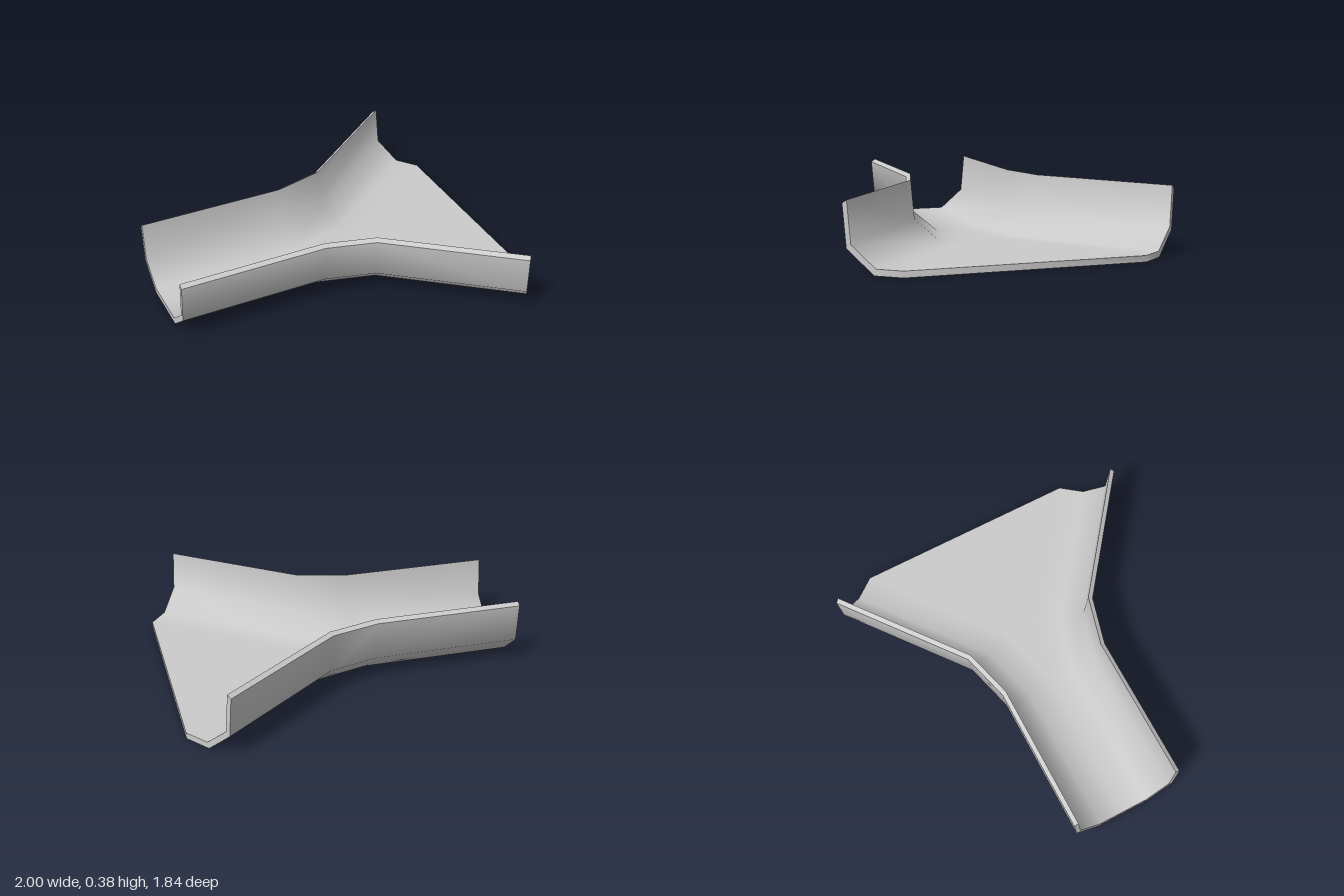
import * as THREE from 'three';
import { toCreasedNormals } from 'three/addons/utils/BufferGeometryUtils.js';

// Plan of the outer rim (x, z) on the +z side
const rim = [[-1, 0.33], [-0.15, 0.33], [0.13, 0.405], [0.8, 0.922]]
  .map(([x, z]) => new THREE.Vector2(x, z));

// Half cross-section: inset from the rim, height; inner skin first, then outer
const profile = [
  [0.33, 0.035], [0.18, 0.035], [0.045, 0.15], [0.025, 0.375],
  [0, 0.358], [0.02, 0.13], [0.17, 0], [0.33, 0],
];

// Inward normal of a rim segment
function inward(i) {
  const d = rim[i + 1].clone().sub(rim[i]).normalize();
  return new THREE.Vector2(d.y, -d.x);
}

// Mitred inward direction at a rim point
function mitre(i) {
  const a = inward(Math.max(i - 1, 0));
  const b = inward(Math.min(i, rim.length - 2));
  return a.clone().add(b).divideScalar(1 + a.dot(b));
}

// Section loop at a rim point, extended across the floor to the middle line
function section(i) {
  const m = mitre(i);
  const pts = profile.map(([d, y]) =>
    new THREE.Vector3(rim[i].x + m.x * d, y, Math.max(rim[i].y + m.y * d, 0)));
  const onAxis = (p) => new THREE.Vector3(p.x, p.y, 0);
  return [onAxis(pts[0]), ...pts, onAxis(pts[pts.length - 1])];
}

function chuteGeometry() {
  const pos = [];
  const tri = (a, b, c) => {
    if (new THREE.Triangle(a, b, c).getArea() < 1e-6) return;
    for (const p of [a, b, c]) pos.push(p.x, p.y, p.z);
    // mirrored side
    for (const p of [a, c, b]) pos.push(p.x, p.y, -p.z);
  };
  const quad = (a, b, c, d) => { tri(a, b, c); tri(a, c, d); };

  const S = rim.map((_, i) => section(i));
  const n = S[0].length;

  // Inner skin, rim and outer skin
  for (let s = 0; s < S.length - 1; s++) {
    for (let j = 0; j < n - 1; j++) {
      quad(S[s][j], S[s][j + 1], S[s + 1][j + 1], S[s + 1][j]);
    }
  }
  // End faces
  const first = S[0], last = S[S.length - 1];
  for (let j = 0; j < n / 2 - 1; j++) {
    const k = n - 1 - j;
    quad(first[k], first[k - 1], first[j + 1], first[j]);
    quad(last[j], last[j + 1], last[k - 1], last[k]);
  }

  const g = new THREE.BufferGeometry();
  g.setAttribute('position', new THREE.Float32BufferAttribute(pos, 3));
  return toCreasedNormals(g, 0.9);
}

export function createModel() {
  const group = new THREE.Group();
  group.name = 'flaredChute';
  const chute = new THREE.Mesh(
    chuteGeometry(),
    new THREE.MeshStandardMaterial({ color: 0xcccccc }),
  );
  chute.name = 'chute';
  group.add(chute);
  return group;
}
